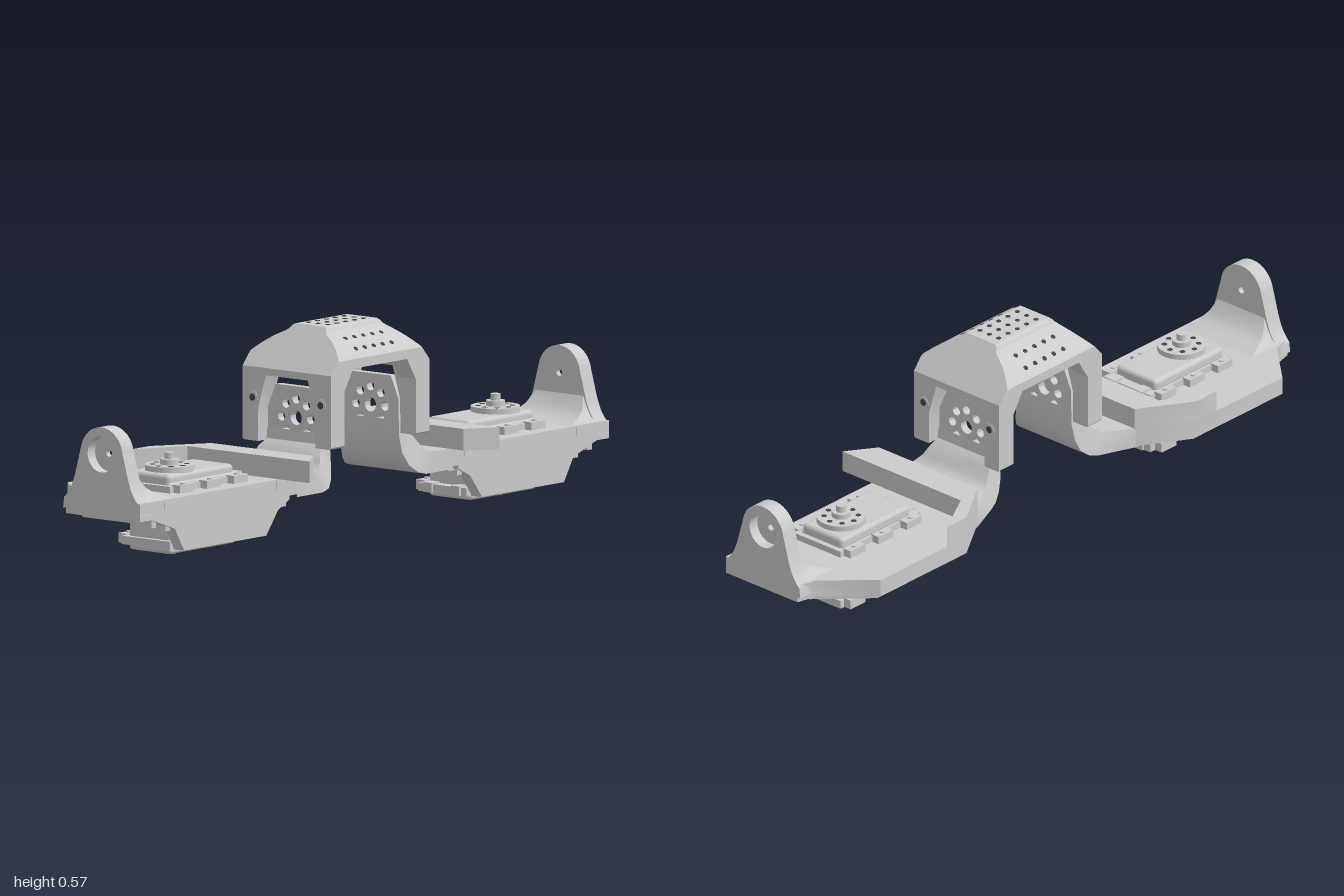
import * as THREE from 'three';
import { toCreasedNormals } from 'three/addons/utils/BufferGeometryUtils.js';
import { RoundedBoxGeometry } from 'three/addons/geometries/RoundedBoxGeometry.js';

const grey = new THREE.MeshStandardMaterial({ color: 0xcccccc });
const dark = new THREE.MeshStandardMaterial({ color: 0x444444 });
const CZ = 0.0125; // centre line of ears and bridge in z

function add(group, name, geometry, material = grey) {
  const mesh = new THREE.Mesh(geometry, material);
  mesh.name = name;
  group.add(mesh);
  return mesh;
}

function circleHole(x, y, r) {
  return new THREE.Path().absarc(x, y, r, 0, Math.PI * 2, true);
}

const extrude = (shape, depth) => toCreasedNormals(
  new THREE.ExtrudeGeometry(shape, { depth, bevelEnabled: false, curveSegments: 20 }), 0.6);

// slab from an (x, z) outline
function slabY(pts, y0, y1) {
  const shape = new THREE.Shape(pts.map(([x, z]) => new THREE.Vector2(x, -z)));
  return extrude(shape, y1 - y0).rotateX(-Math.PI / 2).translate(0, y0, 0);
}

// slab from a shape drawn in (-z, y)
const slabX = (shape, x0, x1) => extrude(shape, x1 - x0).rotateY(Math.PI / 2).translate(x0, 0, 0);

function cylinder(r, y0, y1, x, z, sides = 28) {
  return new THREE.CylinderGeometry(r, r, y1 - y0, sides).translate(x, (y0 + y1) / 2, z);
}

function box(x0, x1, y0, y1, z0, z1, r = 0) {
  const d = [x1 - x0, y1 - y0, z1 - z0];
  const g = r ? new RoundedBoxGeometry(...d, 2, r) : new THREE.BoxGeometry(...d);
  return g.translate((x0 + x1) / 2, (y0 + y1) / 2, (z0 + z1) / 2);
}

// capped skin through matching loops; a and b are the cap axes
function loft(loops, a, b, crease = 0.5) {
  const n = loops[0].length, idx = [];
  const pts = loops.flat().map(p => new THREE.Vector3(...p));
  for (let i = 0; i < loops.length - 1; i++) {
    for (let j = 0; j < n; j++) {
      const p = i * n + j, q = i * n + (j + 1) % n;
      idx.push([p, q, q + n], [p, q + n, p + n]);
    }
  }
  const caps = [[0, true], [(loops.length - 1) * n, false]];
  for (const [start, first] of caps) {
    const flat = pts.slice(start, start + n).map(p => new THREE.Vector2(p[a], p[b]));
    const ccw = !THREE.ShapeUtils.isClockWise(flat);
    for (const f of THREE.ShapeUtils.triangulateShape(flat, [])) {
      const t = f.map(k => start + k);
      const area = THREE.ShapeUtils.area(f.map(k => flat[k]));
      const follows = (area > 0) === ccw;
      idx.push(follows !== first ? t : t.reverse());
    }
  }
  let volume = 0;
  for (const [i, j, k] of idx) volume += pts[i].dot(pts[j].clone().cross(pts[k]));
  if (volume < 0) idx.forEach(t => t.reverse());
  const g = new THREE.BufferGeometry().setFromPoints(pts);
  g.setIndex(idx.flat());
  return toCreasedNormals(g, crease);
}

function mirrored(geometry) {
  const g = geometry.index ? geometry.toNonIndexed() : geometry.clone();
  for (const attr of [g.attributes.position, g.attributes.normal]) {
    for (let i = 0; i < attr.count; i += 3) {
      const v = [0, 2, 1].map(k => [-attr.getX(i + k), attr.getY(i + k), attr.getZ(i + k)]);
      v.forEach((p, k) => attr.setXYZ(i + k, ...p));
    }
  }
  return g;
}

function buildWing() {
  const wing = new THREE.Group();

  // deck and stepped underside
  add(wing, 'deck', slabY([[1, 0.15], [1, -0.115], [0.94, -0.13], [0.82, -0.26], [0.47, -0.26],
    [0.32, -0.165], [0.32, 0.15]], 0.135, 0.185));
  add(wing, 'deckStep', slabY([[0.94, 0.13], [0.94, -0.105], [0.81, -0.238], [0.48, -0.238],
    [0.34, -0.15], [0.34, 0.13]], 0.118, 0.136));
  add(wing, 'sideBar', slabY([[0.32, 0.2], [0.405, 0.258], [0.405, -0.18], [0.55, -0.26],
    [0.47, -0.26], [0.32, -0.165]], 0.185, 0.245));

  // front skirt with small hooks
  const skirt = new THREE.Shape([[0.95, 0.185], [0.36, 0.185], [0.36, 0.125], [0.41, 0.1], [0.46, 0.035],
    [0.81, 0.035], [0.85, 0.1], [0.95, 0.135]].map(p => new THREE.Vector2(...p)));
  add(wing, 'frontSkirt', extrude(skirt, 0.036).translate(0, 0, 0.113));
  for (const [x, y] of [[0.375, 0.105], [0.87, 0.095], [0.93, 0.11]])
    add(wing, 'skirtHook', box(x - 0.01, x + 0.01, y, y + 0.03, 0.115, 0.14));
  for (const x of [0.4, 0.88]) add(wing, 'skirtClip', box(x - 0.018, x + 0.018, 0.158, 0.18, 0.14, 0.152));

  // outer ear with a recessed pivot seat
  const ear = r => {
    const s = new THREE.Shape();
    s.moveTo(-0.138, 0.15).lineTo(0.138, 0.15).lineTo(0.134, 0.18);
    s.bezierCurveTo(0.1, 0.21, 0.095, 0.25, 0.075, 0.32);
    s.absarc(0, 0.31, 0.075, 0.13, Math.PI - 0.13, false);
    s.bezierCurveTo(-0.095, 0.25, -0.1, 0.21, -0.134, 0.18);
    s.holes.push(circleHole(0, 0.31, r));
    return s;
  };
  add(wing, 'earRim', slabX(ear(0.05), 0.968, 1).translate(0, 0, CZ));
  add(wing, 'earBack', slabX(ear(0.01), 0.952, 0.968).translate(0, 0, CZ));
  const flare = [[0.17, 0.84, 0.137], [0.185, 0.85, 0.13], [0.2, 0.9, 0.112], [0.22, 0.932, 0.1], [0.26, 0.956, 0.083]];
  add(wing, 'earFlare', loft(flare.map(([y, x, h]) =>
    [[x, y, CZ - h], [0.97, y, CZ - h], [0.97, y, CZ + h], [x, y, CZ + h]]), 'x', 'z'));

  // curved inner arm: top x, y, bottom x, y, back z, front z
  const arm = [
    [0.33, 0.185, 0.33, 0.127, -0.17, 0.15], [0.26, 0.185, 0.22, 0.127, -0.125, 0.15],
    [0.235, 0.19, 0.19, 0.135, -0.115, 0.147], [0.215, 0.205, 0.167, 0.155, -0.105, 0.135],
    [0.2, 0.23, 0.152, 0.19, -0.098, 0.122], [0.175, 0.25, 0.147, 0.235, -0.09, 0.115],
    [0.17, 0.28, 0.147, 0.28, -0.09, 0.115]];
  add(wing, 'innerArm', loft(arm.map(([tx, ty, bx, by, z0, z1]) =>
    [[tx, ty, z1], [tx, ty, z0], [bx, by, z0], [bx, by, z1]]), 'x', 'z'));

  // pivot plate with a ring of holes
  const plate = new THREE.Shape([[-0.1, 0.25], [0.1, 0.25], [0.1, 0.34], [0.073, 0.402],
    [-0.073, 0.402], [-0.1, 0.34]].map(p => new THREE.Vector2(...p)));
  plate.holes.push(circleHole(0, 0.315, 0.02));
  for (let i = 0; i < 8; i++) {
    const t = i * Math.PI / 4;
    plate.holes.push(circleHole(Math.cos(t) * 0.052, 0.315 + Math.sin(t) * 0.052, 0.013));
  }
  add(wing, 'pivotPlate', slabX(plate, 0.147, 0.17).translate(0, 0, CZ));

  // servo
  add(wing, 'servoBody', box(0.5, 0.78, 0.028, 0.21, -0.075, 0.073, 0.008));
  add(wing, 'servoConnector', box(0.54, 0.74, 0.062, 0.134, 0.07, 0.113));
  add(wing, 'servoTopCover', box(0.5, 0.78, 0.195, 0.232, -0.08, 0.068, 0.012));
  add(wing, 'servoBottomCover', box(0.5, 0.78, 0.012, 0.034, -0.076, 0.075, 0.01));
  const tabs = [0.52, 0.635, 0.75];
  for (const [y0, y1] of [[0.185, 0.207], [0.028, 0.055]]) {
    add(wing, 'servoFlange', box(0.47, 0.795, y0, y1 - 0.004, -0.088, 0.085));
    for (const z of [-0.098, 0.094]) for (const x of tabs) {
      add(wing, 'mountTab', box(x - 0.03, x + 0.03, y0, y1, z - 0.014, z + 0.014));
      add(wing, 'mountScrew', cylinder(0.008, y0 - 0.002, y1 + 0.004, x, z, 12));
    }
    for (const z of [-0.05, 0.05]) add(wing, 'endTab', box(0.463, 0.5, y0, y1, z - 0.015, z + 0.015));
  }
  const hx = 0.695;
  add(wing, 'servoHorn', cylinder(0.068, 0.23, 0.247, hx, 0));
  add(wing, 'hornHub', cylinder(0.026, 0.245, 0.262, hx, 0));
  add(wing, 'hornShaft', cylinder(0.014, 0.26, 0.28, hx, 0, 16));
  for (let i = 0; i < 8; i++) {
    const t = i * Math.PI / 4;
    add(wing, 'hornHole', cylinder(0.008, 0.24, 0.2475, hx + Math.cos(t) * 0.047, Math.sin(t) * 0.047, 10), dark);
  }
  add(wing, 'lowerShaft', cylinder(0.018, 0, 0.02, hx, 0, 20));
  add(wing, 'lowerRing', cylinder(0.035, 0.008, 0.02, hx, 0));
  return wing;
}

function buildBridge() {
  const bridge = new THREE.Group();
  // half profile along z: offset from centre, roof height, bottom of the legs
  const half = [[0.158, 0.486, 0.25], [0.153, 0.493, 0.245], [0.13, 0.513, 0.245], [0.103, 0.531, 0.245],
    [0.102, 0.5315, 0.34], [0.075, 0.545, 0.43], [0.066, 0.551, 0.43], [0.06, 0.561, 0.43], [0.053, 0.565, 0.43]];
  const rows = [...half.map(([u, h, b]) => [CZ - u, h, b]), ...half.map(([u, h, b]) => [CZ + u, h, b]).reverse()];
  const loops = rows.map(([z, h, b]) => {
    const top = 0.21 - (h - 0.45) * 0.87;
    const side = [[top, h], [0.21, 0.45], [0.21, b], [0.152, b], [0.152, Math.max(b, 0.4)], [0.115, 0.46]];
    return [...side, ...side.map(([x, y]) => [-x, y]).reverse()].map(([x, y]) => [x, y, z]);
  });
  add(bridge, 'bridgeShell', loft(loops, 'x', 'y', 0.3));

  // roof vents follow the roof slope
  for (const [z, y, tilt] of [[-0.122, 0.5085, -0.66], [-0.085, 0.533, -0.52], [-0.022, 0.565, 0],
    [0.0125, 0.565, 0], [0.047, 0.565, 0], [0.11, 0.533, 0.52], [0.147, 0.5085, 0.66]])
    for (let i = -2; i <= 2; i++)
      add(bridge, 'vent', new THREE.CylinderGeometry(0.007, 0.007, 0.003, 10)
        .rotateX(tilt).translate(i * 0.038, y, z), dark);

  // leg bolts
  for (const s of [-1, 1]) for (const u of [-0.122, 0.122]) {
    const bolt = (name, r, x, m) => add(bridge, name,
      new THREE.CylinderGeometry(r, r, 0.008, 20).rotateZ(Math.PI / 2).translate(s * x, 0.365, CZ + u), m);
    bolt('legBolt', 0.018, 0.208, grey);
    bolt('legBoltHole', 0.01, 0.2085, dark);
  }
  return bridge;
}

export function createModel() {
  const model = new THREE.Group();
  const left = buildWing();
  left.name = 'leftWing';
  const right = new THREE.Group();
  right.name = 'rightWing';
  for (const m of left.children) add(right, m.name, mirrored(m.geometry), m.material);
  const bridge = buildBridge();
  bridge.name = 'bridge';
  model.add(left, right, bridge);
  return model;
}
